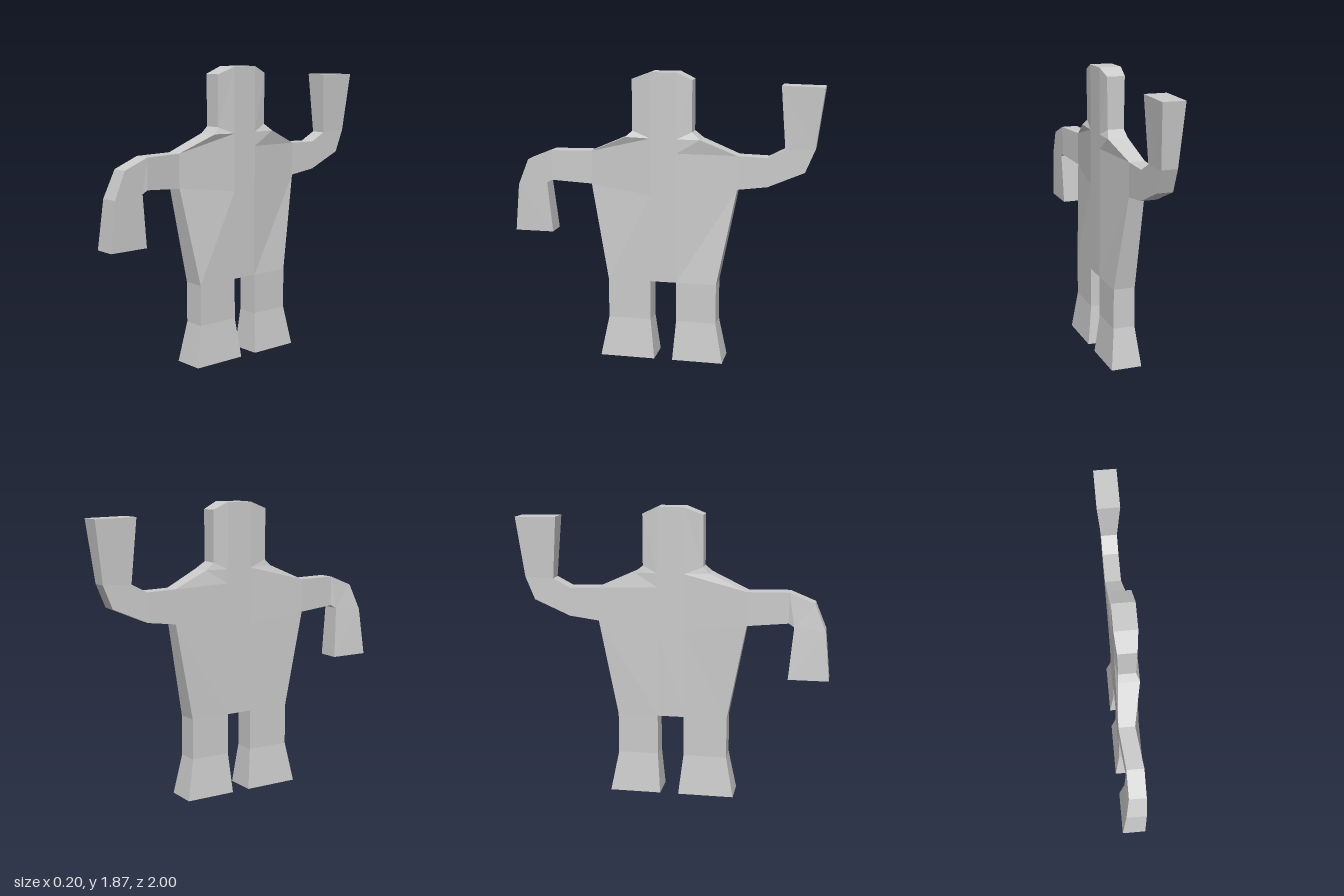
import * as THREE from 'three';

// Outline points of the figure: [z, y, back x, front x]
const points = {
  // head and neck
  h1: [0.2, 1.825, -0.06, 0.055], h2: [0.08, 1.87, -0.07, 0.07],
  h3: [-0.09, 1.87, -0.07, 0.07], h4: [-0.185, 1.825, -0.06, 0.055],
  n1: [0.2, 1.5, -0.055, 0.05], n2: [0.08, 1.455, -0.07, 0.07],
  n3: [-0.09, 1.455, -0.07, 0.07], n4: [-0.185, 1.5, -0.055, 0.05],
  // shoulders and trunk
  s1: [0.24, 1.46, -0.06, 0.07], s4: [-0.24, 1.455, -0.06, 0.07],
  m2: [0.08, 1.365, -0.07, 0.07], m3: [-0.09, 1.365, -0.07, 0.07],
  k2: [0.08, 1.09, -0.07, 0.07], k3: [-0.09, 1.09, -0.07, 0.07],
  // lowered arm
  a1: [0.48, 1.355, -0.08, 0.02], a2: [0.48, 1.14, -0.08, 0.02],
  b1: [0.74, 1.355, -0.055, 0.05], b2: [0.74, 1.16, -0.055, 0.05],
  c1: [0.9, 1.29, -0.055, 0.05], c2: [0.775, 1.14, -0.07, 0.047],
  d1: [0.97, 1.12, -0.075, 0.047],
  e1: [1, 0.81, -0.1, 0.04], e2: [0.745, 0.81, -0.1, 0.04],
  // raised arm
  a3: [-0.47, 1.355, -0.08, 0.02], a4: [-0.47, 1.14, -0.08, 0.02],
  b3: [-0.66, 1.35, -0.08, 0.02], b4: [-0.66, 1.165, -0.08, 0.02],
  c3: [-0.765, 1.405, -0.08, 0.02], c4: [-0.89, 1.265, -0.08, 0.02],
  d4: [-0.95, 1.41, -0.08, 0.02],
  e3: [-0.735, 1.8, -0.1, 0.04], e4: [-1, 1.795, -0.1, 0.04],
  // legs: hip, knee, foot
  p1: [0.36, 0.52, -0.07, 0.07], p2: [0.08, 0.52, -0.07, 0.07],
  p3: [-0.09, 0.52, -0.07, 0.07], p4: [-0.35, 0.52, -0.07, 0.07],
  q1: [0.36, 0.26, -0.07, 0.07], q2: [0.08, 0.26, -0.07, 0.07],
  q3: [-0.09, 0.26, -0.07, 0.07], q4: [-0.35, 0.26, -0.07, 0.07],
  f1: [0.41, 0, -0.1, 0.1], f2: [0.05, 0, -0.1, 0.1],
  f3: [-0.07, 0, -0.1, 0.1], f4: [-0.4, 0, -0.1, 0.1],
};

// Each part is a patchwork of convex cells
const parts = {
  head: ['h1 h2 n2 n1', 'h2 h3 n3 n2', 'h3 h4 n4 n3'],
  torso: [
    'n1 n2 s1', 's1 n2 m2 a1', 'a1 m2 k2 a2', 'a2 k2 p2 p1',
    'n2 n3 m3 m2', 'm2 m3 k3 k2', 'k2 k3 p3 p2',
    'n4 n3 s4', 's4 n3 m3 a3', 'a3 m3 k3 a4', 'a4 k3 p3 p4',
  ],
  loweredArm: ['a1 b1 b2 a2', 'b1 c1 c2 b2', 'c1 d1 c2', 'd1 e1 e2 c2'],
  raisedArm: ['a3 b3 b4 a4', 'b3 c3 c4 b4', 'c3 d4 c4', 'c3 e3 e4 d4'],
  frontLeg: ['p1 p2 q2 q1', 'q1 q2 f2 f1'],
  backLeg: ['p3 p4 q4 q3', 'q3 q4 f4 f3'],
};

const front = (n) => [points[n][3], points[n][1], points[n][0]];
const back = (n) => [points[n][2], points[n][1], points[n][0]];

// Corner names of a cell, counter-clockwise as seen from +x
function corners(cell) {
  const names = cell.split(' ');
  let area = 0;
  names.forEach((n, i) => {
    const [z0, y0] = points[n];
    const [z1, y1] = points[names[(i + 1) % names.length]];
    area += y0 * z1 - y1 * z0;
  });
  return area > 0 ? names : names.reverse();
}

const edgesOf = (names) => names.map((n, i) => [n, names[(i + 1) % names.length]]);

export function createModel() {
  const group = new THREE.Group();
  group.name = 'wavingFigure';
  const material = new THREE.MeshStandardMaterial({ color: 0xcccccc, flatShading: true });

  // Edges met by a neighbouring cell get no side wall
  const used = new Set();
  for (const cells of Object.values(parts)) {
    for (const cell of cells) edgesOf(corners(cell)).forEach(([a, b]) => used.add(a + b));
  }

  for (const [name, cells] of Object.entries(parts)) {
    const verts = [];
    const tri = (...p) => p.forEach((v) => verts.push(...v));
    for (const cell of cells) {
      const c = corners(cell);
      // broad faces
      for (let i = 1; i < c.length - 1; i++) {
        tri(front(c[0]), front(c[i]), front(c[i + 1]));
        tri(back(c[0]), back(c[i + 1]), back(c[i]));
      }
      // rim walls
      for (const [a, b] of edgesOf(c)) {
        if (used.has(b + a)) continue;
        tri(back(a), back(b), front(b));
        tri(back(a), front(b), front(a));
      }
    }
    const geometry = new THREE.BufferGeometry();
    geometry.setAttribute('position', new THREE.Float32BufferAttribute(verts, 3));
    geometry.computeVertexNormals();
    const mesh = new THREE.Mesh(geometry, material);
    mesh.name = name;
    group.add(mesh);
  }
  return group;
}
